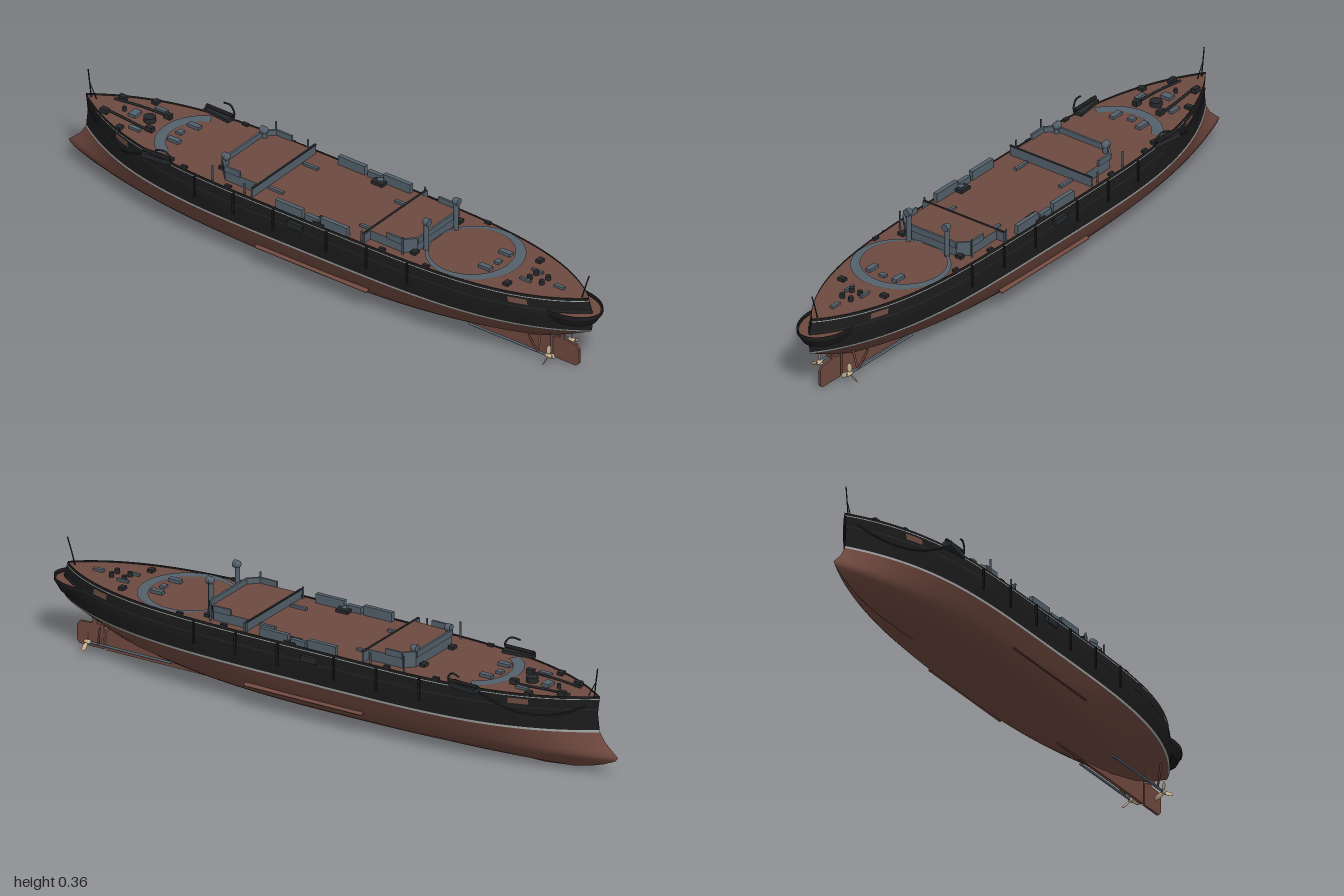
import * as THREE from 'three';

const mat = (name, color, side = THREE.FrontSide) => {
  const m = new THREE.MeshStandardMaterial({ color, side });
  m.name = name;
  return m;
};

// Waterlines: height, bow z, stern z, half beam, bow fullness, stern fullness
const LINES = [
  [0, -0.74, 0.5, 0, 4, 2.5],
  [0.012, -0.85, 0.56, 0.055, 3, 2.2],
  [0.025, -0.905, 0.64, 0.085, 2.8, 2.2],
  [0.04, -0.95, 0.7, 0.11, 2.8, 2.3],
  [0.058, -0.99, 0.775, 0.127, 2.9, 2.5],
  [0.07, -1, 0.805, 0.135, 3, 2.6],
  [0.085, -0.983, 0.845, 0.144, 3.2, 2.8],
  [0.11, -0.955, 0.9, 0.156, 3.5, 3.2],
  [0.14, -0.936, 0.962, 0.169, 3.8, 3.7],
  [0.147, -0.934, 0.967, 0.17, 3.8, 3.8],
  [0.2, -0.928, 0.972, 0.172, 3.9, 4.2],
  [0.256, -0.935, 0.955, 0.166, 4.1, 4.3],
];

function lineAt(y) {
  let i = 0;
  while (i < LINES.length - 2 && y > LINES[i + 1][0]) i++;
  const a = LINES[i], b = LINES[i + 1], t = (y - a[0]) / (b[0] - a[0]);
  return a.map((v, k) => v + (b[k] - v) * t);
}

// Point on the left side; s runs from -1 at the bow to 1 at the stern
function hullPoint(y, s) {
  const [, bow, stern, beam, pb, ps] = lineAt(y);
  const u = Math.abs(s);
  const x = s < 0 ? beam * (1 - u ** pb) : beam * Math.max(0, 1 - u ** ps) ** 0.9;
  return [x, y, s < 0 ? u * bow : u * stern];
}
const halfWidth = (y, z) => hullPoint(y, z < 0 ? -z / lineAt(y)[1] : z / lineAt(y)[2])[0];

function hullPatch(ys, s0, s1, n, side, offset = 0) {
  const pos = [], idx = [], rows = ys.length;
  for (let i = 0; i <= n; i++) {
    const k = i / n;
    const s = s0 === -1 && s1 === 1 ? Math.sin((k - 0.5) * Math.PI) : s0 + (s1 - s0) * k;
    ys.forEach((y) => {
      const p = hullPoint(y, s);
      pos.push(side * (p[0] + offset), p[1], p[2]);
    });
  }
  for (let i = 0; i < n; i++) for (let j = 0; j < rows - 1; j++) {
    const a = i * rows + j, b = a + 1, c = a + rows, d = c + 1;
    if (side > 0) idx.push(a, b, d, a, d, c);
    else idx.push(a, d, b, a, c, d);
  }
  const g = new THREE.BufferGeometry();
  g.setAttribute('position', new THREE.Float32BufferAttribute(pos, 3));
  g.setIndex(idx);
  g.computeVertexNormals();
  return g;
}

export function createModel() {
  const ship = new THREE.Group();
  ship.name = 'ship';
  const red = mat('hullRed', 0x70493f, THREE.DoubleSide);
  const black = mat('hullBlack', 0x1b1b1b, THREE.DoubleSide);
  const stripe = mat('stripeGrey', 0x9da2a2, THREE.DoubleSide);
  const wood = mat('deckBrown', 0x6c4a40, THREE.DoubleSide);
  const grey = mat('blueGrey', 0x53606b, THREE.DoubleSide);
  const dark = mat('fittingsDark', 0x25282b);
  const brass = mat('propellerTan', 0xc9b28f, THREE.DoubleSide);

  const add = (name, geo, m, x = 0, y = 0, z = 0, parent = ship) => {
    const mesh = new THREE.Mesh(geo, m);
    mesh.name = name;
    mesh.position.set(x, y, z);
    parent.add(mesh);
    return mesh;
  };
  const box = (name, m, w, h, d, x, y, z) => add(name, new THREE.BoxGeometry(w, h, d), m, x, y, z);
  const cyl = (name, m, r, h, x, y, z, r2 = r) => add(name, new THREE.CylinderGeometry(r, r2, h, 14), m, x, y, z);
  const tube = (name, m, pts, r) => add(name, new THREE.TubeGeometry(
    new THREE.CatmullRomCurve3(pts.map((p) => new THREE.Vector3(...p))), 20, r, 6), m);
  const flat = (name, shape, m, y, z = 0) => add(name, new THREE.ShapeGeometry(shape, 48).rotateX(-Math.PI / 2), m, 0, y, z);

  // Hull bands, trim and side plates
  for (const s of [1, -1]) {
    add('lowerHull', hullPatch(LINES.slice(0, 9).map((l) => l[0]), -1, 1, 70, s), red);
    add('waterlineStripe', hullPatch([0.14, 0.147], -1, 1, 70, s), stripe);
    add('upperHull', hullPatch([0.147, 0.165, 0.18, 0.2, 0.228, 0.256], -1, 1, 70, s), black);
    add('deckEdgeTrim', hullPatch([0.2455, 0.248], -1, 1, 70, s, 0.0015), stripe);
    add('rubbingStrake', hullPatch([0.212, 0.215], -1, 1, 70, s, 0.002), dark);
    add('sternPort', hullPatch([0.222, 0.239], 0.77, 0.83, 4, s, 0.002), wood);
    add('bowPort', hullPatch([0.222, 0.239], -0.8, -0.735, 4, s, 0.002), wood);
    const keel = box('bilgeKeel', red, 0.014, 0.003, 0.42, s * 0.145, 0.077, 0.025);
    keel.rotation.z = -s * 0.5;
    // Vertical rubbing posts along the side
    for (const z of [-0.4, -0.25, -0.1, 0.1, 0.25, 0.4])
      box('sidePost', black, 0.006, 0.07, 0.006, s * (halfWidth(0.2, z) + 0.001), 0.214, z);
    box('sideSponson', dark, 0.014, 0.02, 0.055, s * 0.173, 0.225, -0.015);
  }

  // Main deck
  const outline = [];
  for (let i = 0; i <= 60; i++) outline.push(hullPoint(0.25, Math.sin((i / 60 - 0.5) * Math.PI)));
  const deck = new THREE.Shape([...outline.map((p) => new THREE.Vector2(p[0], -p[2])),
    ...outline.slice(1, -1).reverse().map((p) => new THREE.Vector2(-p[0], -p[2]))]);
  flat('mainDeck', deck, wood, 0.25);

  // Gun ring plates on the deck
  const sternRing = new THREE.Shape().absarc(0, 0, 0.151, 0, Math.PI * 2);
  sternRing.holes.push(new THREE.Path().absarc(0, 0.014, 0.13, 0, Math.PI * 2));
  flat('sternGunRing', sternRing, grey, 0.253, 0.53);
  const bowRing = new THREE.Shape().absarc(0, 0, 0.15, 0.5, Math.PI - 0.5);
  bowRing.absarc(0, 0, 0.115, Math.PI - 0.5, 0.5, true);
  flat('bowGunRing', bowRing, grey, 0.253, -0.49);

  // Deckhouses with a raised screen at their outer ends
  const house = (name, inner, outer, height) => {
    const d = Math.sign(outer), len = Math.abs(outer - inner), w = 0.127, c = 0.03;
    const ring = [[-w, 0], [w, 0], [w, len - c], [w - c, len], [c - w, len], [-w, len - c]];
    const v = ring.map(([x, z]) => new THREE.Vector2(x, -(inner + d * z)));
    const body = new THREE.ExtrudeGeometry(new THREE.Shape(v), { depth: height, bevelEnabled: false }).rotateX(-Math.PI / 2);
    add(name + 'Walls', body, [wood, grey], 0, 0.25, 0);
    box(name + 'RoofEdge', dark, 0.31, 0.004, 0.006, 0, 0.25 + height, inner);
    box(name + 'Screen', grey, 0.31, height, 0.006, 0, 0.25 + height / 2, inner + d * 0.003);
    // Screen walls follow the outer corners
    const path = [[w, len * 0.45], [w, len - c], [w - c, len], [c - w, len], [-w, len - c], [-w, len * 0.45]];
    for (let i = 0; i < path.length - 1; i++) {
      const [x0, z0] = path[i], [x1, z1] = path[i + 1];
      const wall = box(name + 'Bulwark', grey, Math.hypot(x1 - x0, z1 - z0) + 0.006, 0.02, 0.007,
        (x0 + x1) / 2, 0.258 + height, inner + d * (z0 + z1) / 2);
      wall.rotation.y = -Math.atan2(d * (z1 - z0), x1 - x0);
    }
  };
  house('aftHouse', 0.225, 0.385, 0.03);
  house('foreHouse', -0.19, -0.345, 0.033);

  // Ventilators with rounded cowls
  const vent = (x, z, top, r, d) => {
    cyl('ventilatorPipe', grey, r * 0.8, top - 0.25, x, (top + 0.25) / 2 - r, z);
    add('ventilatorHead', new THREE.SphereGeometry(r * 1.2, 16, 12), grey, x, top - r * 1.2, z);
    const mouth = cyl('ventilatorMouth', grey, r * 1.2, r, x, top - r * 1.2, z + d * r * 0.7);
    mouth.rotation.x = Math.PI / 2;
  };

  for (const s of [1, -1]) {
    vent(s * 0.073, 0.4, 0.361, 0.01, 1);
    vent(s * 0.093, -0.335, 0.32, 0.01, -1);
    // Side lockers amidships
    for (const [z, l, h] of [[0.12, 0.1, 0.03], [0.035, 0.05, 0.02], [-0.05, 0.1, 0.03]])
      box('sideLocker', grey, 0.014, h, l, s * 0.154, 0.25 + h / 2, z);
    box('deckScuttle', dark, 0.042, 0.01, 0.042, s * 0.143, 0.255, 0.063);
    box('scuttleLid', grey, 0.02, 0.004, 0.02, s * 0.143, 0.261, 0.063);
    for (const z of [-0.155, 0.19]) box('longSkylight', grey, 0.01, 0.008, 0.055, s * 0.085, 0.254, z);
    for (const z of [-0.565, 0.605]) box('hatch', grey, 0.018, 0.01, 0.042, s * 0.05, 0.257, z);
    for (const [x, z] of [[0.09, -0.74], [0.08, 0.71], [0.078, -0.36], [0.11, 0.385]])
      box('bollardBase', dark, 0.022, 0.01, 0.018, s * x, 0.255, z);
    for (const z of [0.745, 0.79]) cyl('bollard', dark, 0.008, 0.014, s * 0.016, 0.257, z);
    box('sternChock', grey, 0.008, 0.008, 0.04, s * 0.03, 0.254, 0.74);
    // Foredeck chains and fittings
    tube('anchorChain', dark, [[s * 0.03, 0.254, -0.85], [s * 0.042, 0.256, -0.76], [s * 0.05, 0.254, -0.65]], 0.004);
    for (const z of [-0.83, -0.66]) box('chainStopper', dark, 0.016, 0.016, 0.025, s * 0.045, 0.258, z);
    box('foreHatch', grey, 0.014, 0.008, 0.04, s * 0.065, 0.254, -0.7);
    // Stowed anchors and their shelf
    const shelf = box('anchorShelf', dark, 0.028, 0.016, 0.1, s * 0.15, 0.252, -0.55);
    shelf.rotation.y = s * -0.12;
    const stock = cyl('anchorStock', black, 0.006, 0.1, s * 0.155, 0.264, -0.55);
    stock.rotation.x = Math.PI / 2;
    tube('anchorDavit', dark, [[s * 0.155, 0.25, -0.5], [s * 0.157, 0.275, -0.498], [s * 0.162, 0.292, -0.515], [s * 0.168, 0.288, -0.545]], 0.003);
    const loop = [[-0.6, 0.24], [-0.68, 0.205], [-0.76, 0.19], [-0.84, 0.2], [-0.9, 0.225]];
    tube('hullChain', dark, loop.map(([z, y]) => [s * (halfWidth(y, z) + 0.002), y, z]), 0.0025);
    // Thin posts at the deck edge
    for (const [z, t] of [[0.36, 0.31], [0.22, 0.288], [-0.22, 0.288], [-0.34, 0.305]])
      cyl('deckPost', grey, 0.003, t - 0.25, s * (z === 0.36 ? 0.137 : 0.155), (t + 0.25) / 2, z);
    for (const z of [-0.45, -0.28, 0.3, 0.46])
      box('cleat', dark, 0.01, 0.008, 0.02, s * (halfWidth(0.25, z) - 0.008), 0.257, z);

    // Propellers, shafts and struts
    const x = s * 0.057;
    const shaft = cyl('propellerShaft', grey, 0.004, 0.31, x, 0.04, 0.705);
    shaft.rotation.x = Math.PI / 2;
    tube('shaftStrut', red, [[x, 0.04, 0.81], [s * 0.04, 0.065, 0.8], [s * 0.02, 0.095, 0.79]], 0.0035);
    tube('outerStrut', red, [[x, 0.04, 0.81], [s * 0.07, 0.07, 0.8], [s * 0.08, 0.105, 0.79]], 0.0035);
    const prop = new THREE.Group();
    prop.name = 'propeller';
    prop.position.set(x, 0.04, 0.848);
    ship.add(prop);
    const hub = add('hub', new THREE.SphereGeometry(0.007, 12, 8), brass, 0, 0, 0, prop);
    hub.scale.z = 2;
    for (let i = 0; i < 3; i++) {
      const arm = new THREE.Group();
      arm.name = 'bladeArm';
      arm.rotation.z = i * Math.PI * 2 / 3;
      prop.add(arm);
      const blade = add('blade', new THREE.SphereGeometry(1, 14, 10), brass, 0, 0.02, 0, arm);
      blade.scale.set(0.008, 0.016, 0.002);
      blade.rotation.y = s * 0.5;
    }
  }

  // Centreline fittings
  cyl('capstan', dark, 0.019, 0.016, 0, 0.258, -0.695);
  box('foreSkylight', grey, 0.034, 0.01, 0.026, 0, 0.255, -0.75);
  box('bowHatch', grey, 0.02, 0.008, 0.02, 0, 0.254, -0.58);
  box('sternHatch', grey, 0.022, 0.008, 0.016, 0, 0.254, 0.615);
  box('sternSkylight', grey, 0.012, 0.008, 0.035, 0, 0.254, 0.845);
  cyl('bowBitt', dark, 0.006, 0.014, 0, 0.257, -0.79);

  // Flagstaffs
  tube('jackstaff', dark, [[0, 0.25, -0.915], [0, 0.3, -0.921], [0, 0.345, -0.927]], 0.002);
  tube('jackstaffStay', dark, [[0, 0.25, -0.895], [0, 0.275, -0.908], [0, 0.3, -0.921]], 0.0015);
  tube('ensignStaff', dark, [[0, 0.25, 0.93], [0, 0.29, 0.942], [0, 0.335, 0.957]], 0.002);

  // Stern walk
  const walk = add('sternWalk', new THREE.CylinderGeometry(1, 0.84, 0.03, 40), black, 0, 0.19, 0.872);
  walk.scale.set(0.078, 1, 0.124);
  const floor = add('sternWalkFloor', new THREE.CylinderGeometry(0.94, 0.94, 0.003, 40), wood, 0, 0.206, 0.872);
  floor.scale.set(0.078, 1, 0.124);
  const rail = add('sternWalkRail', new THREE.CylinderGeometry(1, 1, 0.014, 40, 1, true), black, 0, 0.21, 0.872);
  rail.scale.set(0.078, 1, 0.124);

  // Skeg and rudder, cut as side profiles
  const fin = (name, pts, t) => {
    const g = new THREE.ExtrudeGeometry(new THREE.Shape(pts.map((p) => new THREE.Vector2(...p))), { depth: t, bevelEnabled: false });
    add(name, g.translate(0, 0, -t / 2).rotateY(-Math.PI / 2), red);
  };
  fin('skeg', [[0.3, 0.001], [0.815, 0.001], [0.815, 0.085], [0.84, 0.095], [0.6, 0.06], [0.3, 0.02]], 0.01);
  fin('rudder', [[0.825, 0.002], [0.91, 0.002], [0.921, 0.014], [0.921, 0.062], [0.91, 0.075], [0.865, 0.078], [0.865, 0.11], [0.85, 0.11], [0.85, 0.078], [0.825, 0.075]], 0.008);
  return ship;
}
